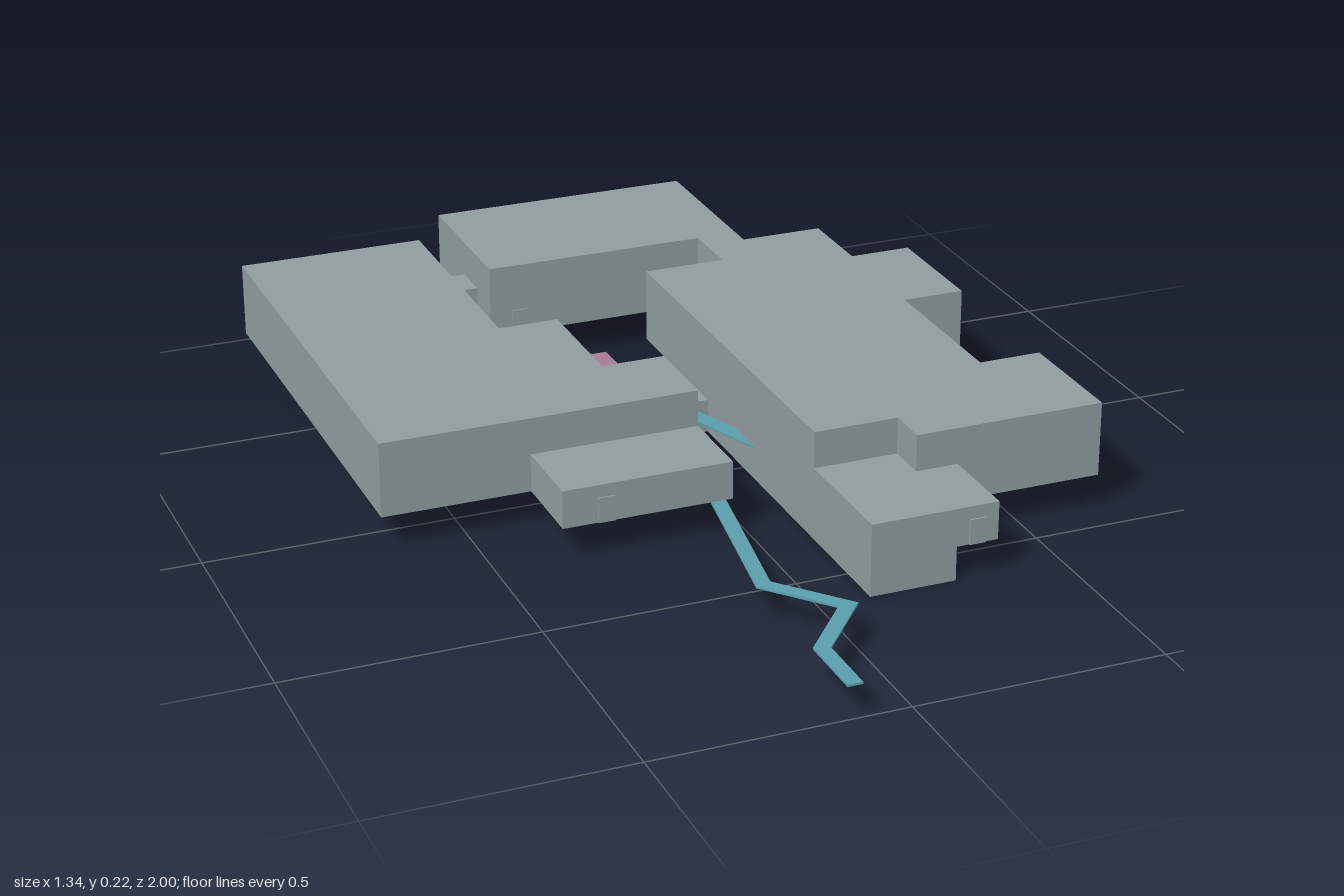
import * as THREE from 'three';

const stone = new THREE.MeshStandardMaterial({ color: 0x919c9f });
stone.name = 'stone grey';
const water = new THREE.MeshStandardMaterial({ color: 0x5a9fab });
water.name = 'water teal';
const rose = new THREE.MeshStandardMaterial({ color: 0xa87a95 });
rose.name = 'dusty rose';

const FLOOR = 0.07, LOW = 0.148, HIGH = 0.223;

export function createModel() {
  const model = new THREE.Group();
  model.name = 'complex';

  const add = (name, geometry, material) => {
    const mesh = new THREE.Mesh(geometry, material);
    mesh.name = name;
    model.add(mesh);
    return mesh;
  };

  // Straight-walled block from a plan outline of [x, z] corners
  const block = (name, plan, y0, y1) => {
    const shape = new THREE.Shape(plan.map(([x, z]) => new THREE.Vector2(x, -z)));
    const geometry = new THREE.ExtrudeGeometry(shape, { depth: y1 - y0, bevelEnabled: false });
    geometry.rotateX(-Math.PI / 2).translate(0, y0, 0);
    return add(name, geometry, stone);
  };

  const box = (name, x0, x1, y0, y1, z0, z1, material = stone) => {
    const geometry = new THREE.BoxGeometry(x1 - x0, y1 - y0, z1 - z0);
    geometry.translate((x0 + x1) / 2, (y0 + y1) / 2, (z0 + z1) / 2);
    return add(name, geometry, material);
  };

  // Tall upper storeys
  block('westHall', [
    [-0.67, -0.875], [-0.28, -0.875], [-0.28, -0.355], [-0.155, -0.355],
    [-0.155, -0.1], [-0.025, -0.1], [-0.025, 0.08], [-0.67, 0.08],
  ], FLOOR, HIGH);
  block('eastAndBackHall', [
    [-0.195, -1], [0.365, -1], [0.365, -0.615], [0.54, -0.615], [0.54, -0.44],
    [0.67, -0.44], [0.67, -0.18], [0.54, -0.18], [0.54, 0.165], [0.67, 0.165],
    [0.67, 0.425], [0.278, 0.425], [0.278, 0.34], [0.105, 0.34], [0.105, -0.525],
    [0.278, -0.525], [0.278, -0.66], [-0.195, -0.66],
  ], FLOOR, HIGH);

  // Low rooms and the link between the halls
  box('frontWestRoom', -0.37, -0.025, FLOOR, LOW, 0.08, 0.255);
  block('frontEastRoom', [
    [0.105, 0.34], [0.278, 0.34], [0.278, 0.425], [0.365, 0.425], [0.365, 0.6], [0.105, 0.6],
  ], FLOOR, LOW);
  box('backLink', -0.28, -0.195, FLOOR, LOW, -0.83, -0.745);

  // Basement passages
  block('westBasement', [
    [-0.54, -0.875], [-0.28, -0.875], [-0.28, -0.355], [-0.155, -0.355],
    [-0.155, -0.1], [-0.28, -0.1], [-0.28, -0.18], [-0.37, -0.18],
    [-0.37, -0.53], [-0.54, -0.53],
  ], 0, FLOOR);
  block('eastBasement', [
    [-0.155, -0.27], [0.105, -0.27], [0.105, -0.345], [0.28, -0.345], [0.28, -0.265],
    [0.19, -0.265], [0.19, 0.345], [0.28, 0.345], [0.28, 0.6], [0.105, 0.6],
    [0.105, -0.185], [-0.155, -0.185],
  ], 0, FLOOR);

  // Door plates on walls facing z, then on walls facing x
  for (const [x, z] of [[-0.282, 0.255], [0.322, 0.6], [-0.13, -0.66]]) {
    box('door', x - 0.017, x + 0.017, FLOOR, 0.122, z - 0.002, z + 0.003);
  }
  for (const [x, z, top] of [[0.67, -0.303, 0.122], [0.365, -0.632, 0.145], [-0.28, -0.715, 0.122]]) {
    box('sideDoor', x - 0.002, x + 0.003, FLOOR, top, z - 0.017, z + 0.017);
  }

  // Stream and its branches, as flat strips with mitred bends
  const strip = (name, points, width) => {
    const p = points.map(([x, z]) => new THREE.Vector2(x, z));
    const left = [], right = [];
    p.forEach((q, i) => {
      const a = q.clone().sub(p[Math.max(i - 1, 0)]).normalize();
      const b = p[Math.min(i + 1, p.length - 1)].clone().sub(q).normalize();
      const t = a.clone().add(b).normalize();
      const edge = i === 0 ? b : a;
      const n = new THREE.Vector2(-t.y, t.x);
      const reach = width / 2 / Math.abs(n.dot(new THREE.Vector2(-edge.y, edge.x)));
      left.push([q.x + n.x * reach, q.y + n.y * reach]);
      right.unshift([q.x - n.x * reach, q.y - n.y * reach]);
    });
    const mesh = block(name, [...left, ...right], 0.065, 0.069);
    mesh.material = water;
  };
  strip('upperStream', [[-0.13, -0.66], [0.005, -0.22]], 0.03);
  strip('lowerStream', [
    [0.005, -0.22], [-0.02, 0.05], [-0.11, 0.6], [0, 0.73], [-0.11, 0.86], [-0.11, 1],
  ], 0.03);
  strip('eastBranch', [[0.02, -0.22], [0.125, 0.06]], 0.034);
  strip('westBranch', [[0, -0.22], [-0.1, -0.07]], 0.03);

  // Square slab across the stream in the courtyard
  box('courtyardSlab', -0.092, 0, 0.064, 0.072, -0.488, -0.393, rose);

  return model;
}
